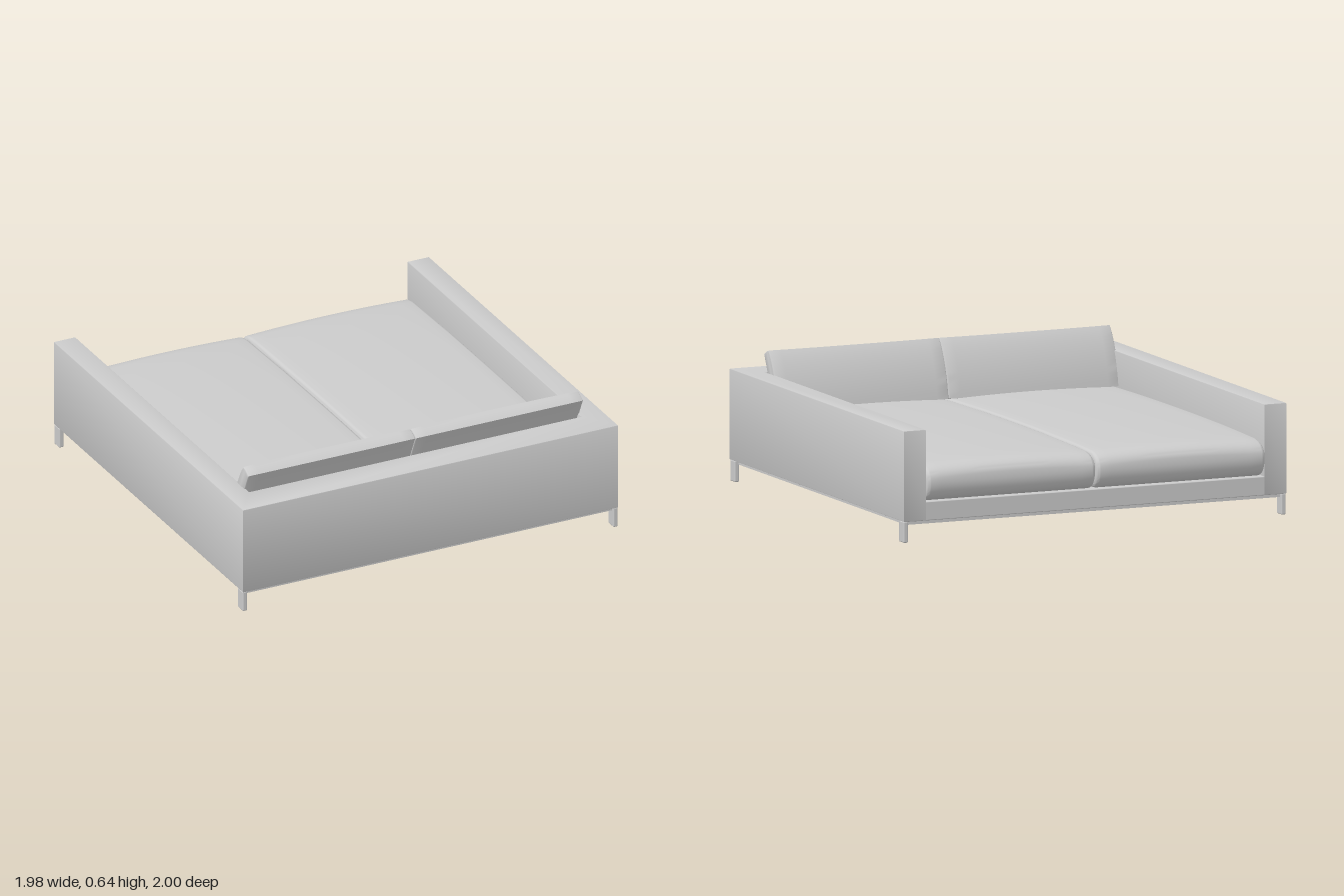
import * as THREE from 'three';
import { toCreasedNormals } from 'three/addons/utils/BufferGeometryUtils.js';
import { RoundedBoxGeometry } from 'three/addons/geometries/RoundedBoxGeometry.js';

const material = new THREE.MeshStandardMaterial({ color: 0xcccccc });

function add(group, name, geometry, x = 0, y = 0, z = 0) {
  const mesh = new THREE.Mesh(geometry, material);
  mesh.name = name;
  mesh.position.set(x, y, z);
  group.add(mesh);
  return mesh;
}

const roundedBox = (w, h, d, r = 0.004) => new RoundedBoxGeometry(w, h, d, 2, r);

// Sweeps a side profile (drawn with -z to the right) along x, softens the ends
// and swells it towards the middle by the given rule.
function cushion(shape, width, bevel, swell) {
  const geometry = new THREE.ExtrudeGeometry(shape, {
    depth: width - 2 * bevel, steps: 16, curveSegments: 12,
    bevelEnabled: true, bevelThickness: bevel, bevelSize: bevel, bevelOffset: -bevel, bevelSegments: 5,
  });
  geometry.translate(0, 0, bevel - width / 2).rotateY(Math.PI / 2);
  const p = geometry.attributes.position;
  const v = new THREE.Vector3();
  for (let i = 0; i < p.count; i++) {
    v.fromBufferAttribute(p, i);
    swell(v, 1 - (2 * v.x / width) ** 2);
    p.setXYZ(i, v.x, v.y, v.z);
  }
  return toCreasedNormals(geometry, 0.7);
}

function seatCushionGeometry() {
  const s = new THREE.Shape();
  s.moveTo(-0.84, 0.19);
  s.lineTo(0.93, 0.19);
  s.bezierCurveTo(0.975, 0.19, 1.0, 0.235, 1.0, 0.28);
  s.bezierCurveTo(1.0, 0.325, 0.97, 0.355, 0.9, 0.362);
  s.bezierCurveTo(0.5, 0.38, -0.4, 0.38, -0.84, 0.362);
  s.closePath();
  return cushion(s, 0.874, 0.02, (v, k) => {
    if (v.y > 0.3) v.y += 0.012 * k;
  });
}

function backCushionGeometry() {
  const s = new THREE.Shape();
  s.moveTo(-0.845, 0.62);
  s.quadraticCurveTo(-0.82, 0.64, -0.79, 0.645);
  s.bezierCurveTo(-0.75, 0.6, -0.7, 0.5, -0.68, 0.37);
  s.lineTo(-0.73, 0.36);
  s.quadraticCurveTo(-0.79, 0.51, -0.845, 0.62);
  return cushion(s, 0.884, 0.006, (v, k) => {
    const faceZ = 0.68 + (v.y - 0.37) * 0.4;
    if (v.z < faceZ + 0.02) v.z -= 0.01 * k;
  });
}

// Arms and back as one U-shaped wall
function frameGeometry() {
  const b = 0.004;
  const s = new THREE.Shape();
  [[-0.99, -1.0], [0.99, -1.0], [0.99, 0.98], [0.877, 0.98], [0.877, -0.84],
    [-0.877, -0.84], [-0.877, 0.98], [-0.99, 0.98]]
    .forEach(([x, y], i) => (i ? s.lineTo(x, y) : s.moveTo(x, y)));
  s.closePath();
  const geometry = new THREE.ExtrudeGeometry(s, {
    depth: 0.435 - 2 * b, bevelEnabled: true,
    bevelThickness: b, bevelSize: b, bevelOffset: -b, bevelSegments: 2,
  });
  geometry.rotateX(-Math.PI / 2).translate(0, 0.1 + b, 0);
  return toCreasedNormals(geometry, 0.6);
}

export function createModel() {
  const group = new THREE.Group();
  group.name = 'daybed';

  add(group, 'armAndBackFrame', frameGeometry());
  add(group, 'seatDeck', roundedBox(1.76, 0.09, 1.83), 0, 0.145, -0.065);
  add(group, 'basePlinth', new THREE.BoxGeometry(1.94, 0.018, 1.94), 0, 0.092, 0.01);

  const seat = seatCushionGeometry();
  const back = backCushionGeometry();
  for (const side of [-1, 1]) {
    const label = side > 0 ? 'left' : 'right';
    add(group, label + 'SeatCushion', seat, side * 0.439);
    add(group, label + 'BackCushion', back, side * 0.4425);
    // Flat blade legs at the corners
    for (const [end, z] of [['Front', 0.97], ['Rear', -0.95]]) {
      add(group, label + end + 'Leg', roundedBox(0.024, 0.102, 0.056, 0.006), side * 0.978, 0.051, z);
    }
  }
  return group;
}
